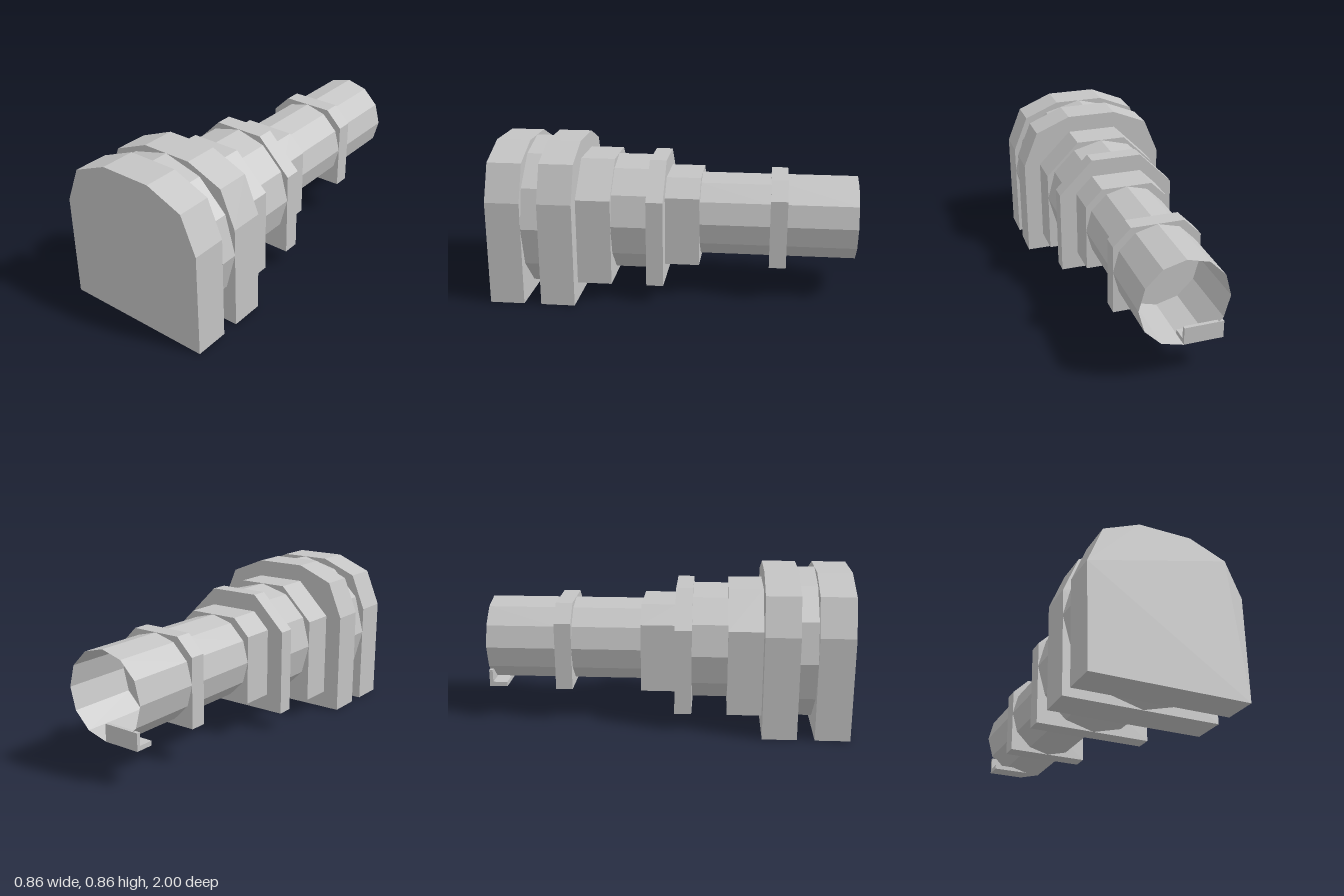
import * as THREE from 'three';

const AXIS_Y = 0.43;

export function createModel() {
  const model = new THREE.Group();
  const grey = new THREE.MeshStandardMaterial({ color: 0xc4c4c4 });
  grey.name = 'lightGrey';
  grey.flatShading = true;
  grey.side = THREE.DoubleSide;

  const add = (name, geometry) => {
    const mesh = new THREE.Mesh(geometry, grey);
    mesh.name = name;
    model.add(mesh);
  };

  // Right half of an arched collar: flat foot, straight sides, chamfered top
  const large = [[0.427, 0], [0.427, 0.574], [0.343, 0.775], [0.143, 0.858]];
  const medium = [[0.332, 0.098], [0.332, 0.574], [0.143, 0.763]];
  const small = [[0.237, 0.193], [0.237, 0.574], [0.143, 0.668]];

  const collar = (name, half, front, back) => {
    const mirrored = half.map(([x, y]) => [-x, y]).reverse();
    const shape = new THREE.Shape([...half, ...mirrored].map(([x, y]) => new THREE.Vector2(x, y)));
    const geometry = new THREE.ExtrudeGeometry(shape, { depth: front - back, bevelEnabled: false });
    add(name, geometry.translate(0, 0, back));
  };

  // Open twelve-sided barrel section along z
  const barrel = (name, radius, front, back) => {
    const geometry = new THREE.CylinderGeometry(radius, radius, front - back, 12, 1, true);
    add(name, geometry.rotateX(Math.PI / 2).translate(0, AXIS_Y, (front + back) / 2));
  };

  // Large front stage
  collar('frontCollar', large, 1, 0.81);
  barrel('frontBarrel', 0.428, 0.81, 0.715);
  collar('frontRearCollar', large, 0.715, 0.527);

  // Medium stage
  collar('middleCollar', medium, 0.527, 0.337);
  barrel('middleBarrel', 0.332, 0.337, 0.143);
  collar('middleRearCollar', medium, 0.143, 0.05);

  // Small rear stage, open at the back
  collar('rearCollar', small, 0.05, -0.14);
  barrel('rearBarrel', 0.237, -0.14, -0.525);
  collar('rearRing', small, -0.525, -0.618);
  barrel('rearOpenBarrel', 0.237, -0.618, -1);

  // Small angle bracket under one side of the open end
  const box = (name, w, h, d, x, y, z) => add(name, new THREE.BoxGeometry(w, h, d).translate(x, y, z));
  box('bracketWall', 0.21, 0.095, 0.02, -0.105, 0.2405, -0.99);
  box('bracketFloor', 0.21, 0.025, 0.08, -0.105, 0.2055, -0.94);

  return model;
}
